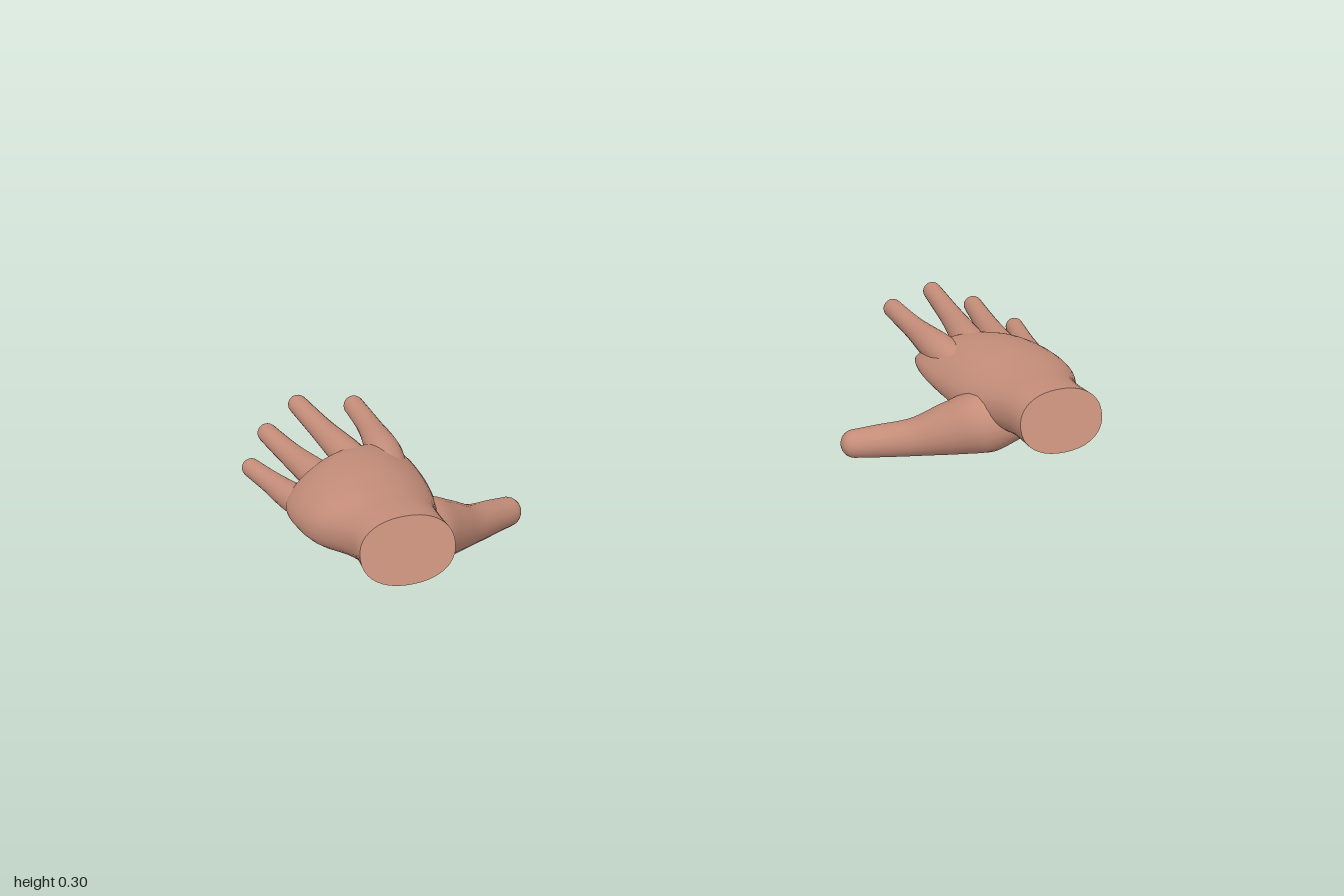
import * as THREE from 'three';

const skin = new THREE.MeshStandardMaterial({ color: 0xc78f7b });
skin.name = 'skin';

// Catmull-Rom interpolation of every column of a short table, t in 0..1
function sample(rows, t) {
  const n = rows.length - 1;
  const i = Math.min(Math.floor(t * n), n - 1);
  const u = t * n - i;
  const row = k => rows[Math.max(0, Math.min(n, k))];
  return rows[0].map((_, c) => {
    const [a, b, d, e] = [row(i - 1)[c], row(i)[c], row(i + 1)[c], row(i + 2)[c]];
    return b + 0.5 * u * (d - a + u * (2 * a - 5 * b + 4 * d - e + u * (3 * (b - d) + e - a)));
  });
}

// Skin a list of closed rings; side = -1 mirrors it to the other hand
function skinRings(name, rings, side) {
  const m = rings[0].length, pos = [], idx = [];
  const tri = (a, b, c) => (side > 0 ? idx.push(a, b, c) : idx.push(a, c, b));
  rings.forEach(r => r.forEach(p => pos.push(p.x * side, p.y, p.z)));
  for (let i = 0; i < rings.length - 1; i++) {
    for (let j = 0; j < m; j++) {
      const k = (j + 1) % m, a = i * m + j, b = i * m + k;
      tri(a, a + m, b);
      tri(b, a + m, b + m);
    }
  }
  const g = new THREE.BufferGeometry();
  g.setAttribute('position', new THREE.Float32BufferAttribute(pos, 3));
  g.setIndex(idx);
  g.computeVertexNormals();
  const mesh = new THREE.Mesh(g, skin);
  mesh.name = name;
  return mesh;
}

// Finger: round tube along [x, y, z, radius] points, closed by a round tip
function finger(name, points, side) {
  const steps = 24, capSteps = 7, m = 20, rings = [];
  const at = t => new THREE.Vector3(...sample(points, t).slice(0, 3));
  const up = new THREE.Vector3(0, 1, 0);
  const addRing = (c, dir, r) => {
    const u = new THREE.Vector3().crossVectors(dir, up).normalize();
    const v = new THREE.Vector3().crossVectors(u, dir);
    rings.push(Array.from({ length: m }, (_, j) => {
      const a = (j / m) * Math.PI * 2;
      return c.clone().addScaledVector(u, r * Math.cos(a)).addScaledVector(v, r * Math.sin(a));
    }));
  };
  let dir;
  for (let i = 0; i <= steps; i++) {
    const t = i / steps;
    dir = at(Math.min(1, t + 0.01)).sub(at(Math.max(0, t - 0.01))).normalize();
    addRing(at(t), dir, sample(points, t)[3]);
  }
  const end = at(1), r = points[points.length - 1][3];
  for (let i = 1; i <= capSteps; i++) {
    const a = (i / capSteps) * Math.PI / 2;
    addRing(end.clone().addScaledVector(dir, r * Math.sin(a)), dir, Math.max(r * Math.cos(a), 1e-4));
  }
  return skinRings(name, rings, side);
}

// Wrist and palm: z, centre x, centre y, half width, half height, arch, tilt, skew
const palmSections = [
  [0.385, 0.78, 0.230, 0.105, 0.070, 0.000, 0.36, 0.00],
  [0.310, 0.78, 0.222, 0.103, 0.070, 0.000, 0.20, 0.00],
  [0.240, 0.785, 0.210, 0.115, 0.074, 0.005, 0.05, 0.00],
  [0.160, 0.795, 0.200, 0.143, 0.077, 0.015, 0.00, 0.00],
  [0.080, 0.797, 0.203, 0.157, 0.068, 0.030, 0.00, 0.05],
  [0.000, 0.797, 0.208, 0.160, 0.052, 0.043, 0.00, 0.15],
  [-0.055, 0.795, 0.208, 0.152, 0.038, 0.045, 0.00, 0.26],
  [-0.085, 0.793, 0.206, 0.138, 0.022, 0.042, 0.00, 0.32],
  [-0.093, 0.793, 0.204, 0.125, 0.001, 0.040, 0.00, 0.34],
];

function palmRing(t, m) {
  const [z, cx, cy, rx, ry, arch, tilt, skew] = sample(palmSections, t);
  const full = w => Math.sign(w) * Math.abs(w) ** 0.9;
  return Array.from({ length: m }, (_, j) => {
    const a = (j / m) * Math.PI * 2;
    const c = full(Math.cos(a)), s = full(Math.sin(a));
    return new THREE.Vector3(cx + rx * c, cy + ry * s - arch * c * c, z - tilt * ry * s + skew * rx * c);
  });
}

// Finger paths: x, y, z, radius
const fingers = {
  indexFinger: [[0.715, 0.198, 0.04, 0.036], [0.700, 0.200, -0.08, 0.041], [0.695, 0.196, -0.22, 0.028], [0.698, 0.188, -0.351, 0.024]],
  middleFinger: [[0.770, 0.212, 0.04, 0.036], [0.779, 0.207, -0.08, 0.038], [0.803, 0.202, -0.24, 0.028], [0.823, 0.198, -0.386, 0.023]],
  ringFinger: [[0.835, 0.200, 0.04, 0.036], [0.859, 0.186, -0.06, 0.037], [0.888, 0.174, -0.20, 0.028], [0.912, 0.168, -0.331, 0.023]],
  littleFinger: [[0.895, 0.175, 0.06, 0.036], [0.925, 0.160, -0.03, 0.034], [0.952, 0.152, -0.13, 0.026], [0.977, 0.145, -0.226, 0.022]],
  thumb: [[0.755, 0.175, 0.25, 0.045], [0.700, 0.150, 0.19, 0.077], [0.630, 0.112, 0.135, 0.065],
    [0.560, 0.076, 0.085, 0.047], [0.490, 0.050, 0.030, 0.040], [0.441, 0.036, -0.002, 0.035]],
};

function createHand(name, side) {
  const hand = new THREE.Group();
  hand.name = name;
  const steps = 40, m = 40;
  const rings = Array.from({ length: steps + 1 }, (_, i) => palmRing(i / steps, m));
  hand.add(skinRings('palm', rings, side));

  // Flat cut at the wrist
  const rim = rings[0];
  const centre = new THREE.Vector3(0.78, 0.23, 0.385);
  hand.add(skinRings('wristEnd', [rim.map(() => centre), rim], side));

  for (const [part, path] of Object.entries(fingers)) hand.add(finger(part, path, side));
  return hand;
}

export function createModel() {
  const model = new THREE.Group();
  model.name = 'hands';
  model.add(createHand('leftHand', 1), createHand('rightHand', -1));
  return model;
}
